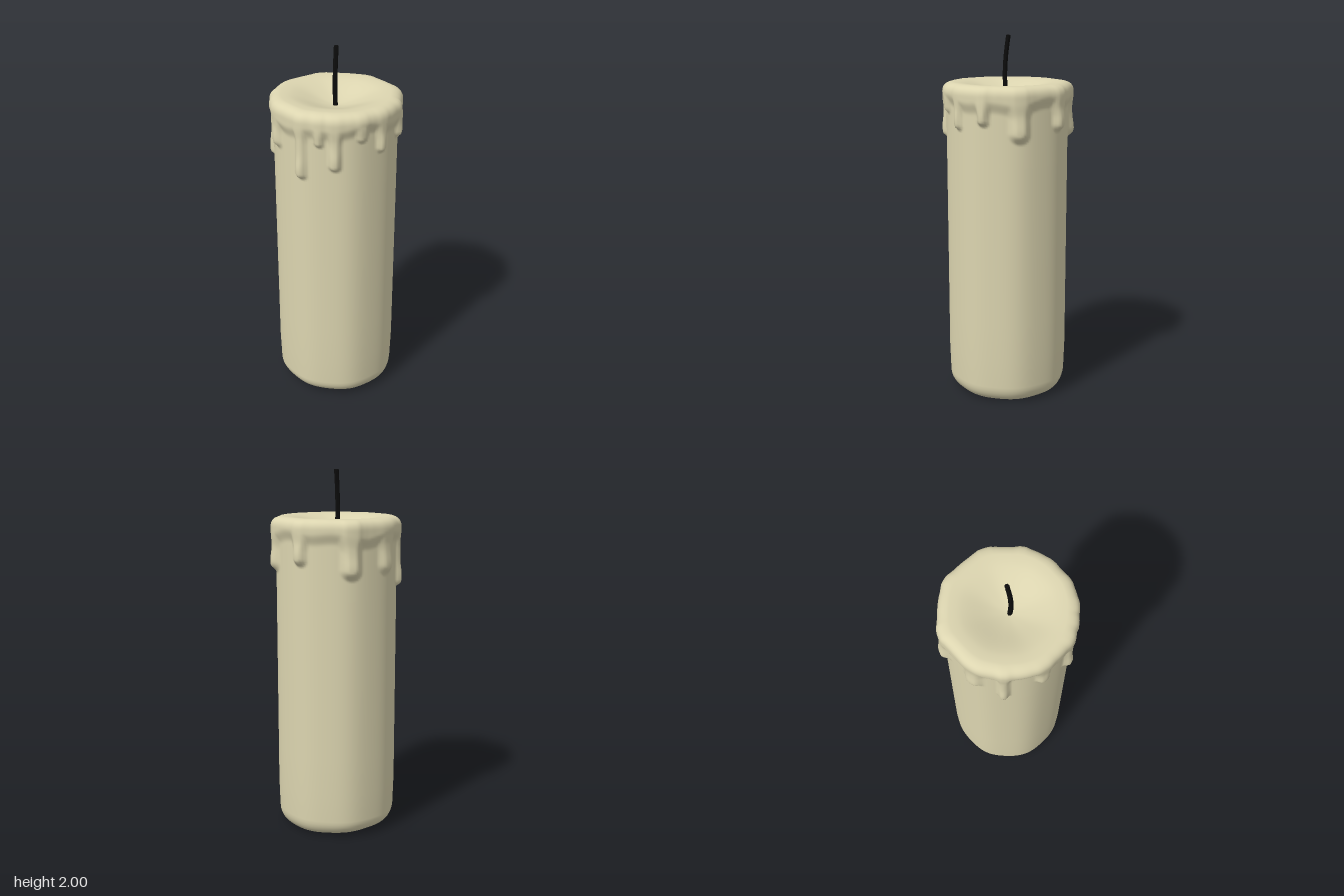
import * as THREE from 'three';
import { mergeVertices } from 'three/addons/utils/BufferGeometryUtils.js';

// Wax drips: [angle in degrees from the front towards +x, tip height, half width, thickness]
const DRIPS = [
  [-47, 1.38, 0.036, 0.028], [-30, 1.57, 0.026, 0.02], [-16, 1.44, 0.036, 0.026],
  [8, 1.59, 0.03, 0.018], [29, 1.51, 0.032, 0.024], [57, 1.54, 0.034, 0.028],
  [90, 1.45, 0.06, 0.03], [132, 1.5, 0.045, 0.03], [180, 1.43, 0.06, 0.034],
  [218, 1.45, 0.06, 0.022], [246, 1.37, 0.032, 0.028], [281, 1.5, 0.045, 0.024],
];
const RADIUS = 0.332;
const smooth = THREE.MathUtils.smoothstep;

// How far the molten wax stands out from the candle side
function waxOffset(angle, y) {
  // lip hanging from the rim, with a wavy lower edge
  const edge = 1.645 + 0.012 * Math.sin(3 * angle + 1) + 0.01 * Math.sin(7 * angle);
  const lip = 0.02 * smooth(y, edge - 0.035, edge + 0.035);
  let drip = 0;
  for (const [deg, tip, width, thick] of DRIPS) {
    const a = angle - THREE.MathUtils.degToRad(deg);
    const across = Math.atan2(Math.sin(a), Math.cos(a)) * RADIUS;
    // drips flare where they join the lip, and swell at the rounded tip
    const w = width * (1 + 0.5 * smooth(y, 1.58, 1.68));
    const along = Math.max(0, tip + width - y) / width;
    const d = Math.hypot(across / w, along);
    const swell = 0.8 + 0.35 * Math.exp(-(((y - tip - 0.06) / 0.06) ** 2));
    drip = Math.max(drip, thick * swell * (1 - smooth(d, 0.3, 1.05)));
  }
  return Math.max(lip, drip) + 0.25 * Math.min(lip, drip);
}

function createWax() {
  const profile = [];
  const add = (r, y) => profile.push(new THREE.Vector2(r, y));
  // underside and rounded foot
  add(0, 0.008);
  add(0.14, 0.008);
  for (let i = 0; i <= 8; i++) {
    const t = (i / 8) * Math.PI / 2;
    add(0.25 + 0.077 * Math.sin(t), 0.008 + 0.085 * (1 - Math.cos(t)));
  }
  // straight side, then dense rows where the drips are
  for (let y = 0.25; y < 1.3; y += 0.2) add(RADIUS, y);
  for (let i = 0; i <= 38; i++) add(RADIUS, 1.32 + i * 0.01);
  // rounded rim
  for (let i = 1; i <= 8; i++) {
    const t = (i / 8) * Math.PI / 2;
    add(0.282 + 0.05 * Math.cos(t), 1.7 + 0.053 * Math.sin(t));
  }
  // dished top
  for (let i = 1; i <= 10; i++) {
    const r = 0.282 * (1 - i / 10);
    add(r, 1.68 + 0.073 * smooth(r, -0.05, 0.29) ** 1.4);
  }

  let geometry = new THREE.LatheGeometry(profile, 192);
  const p = geometry.attributes.position;
  for (let i = 0; i < p.count; i++) {
    const x = p.getX(i), y = p.getY(i), z = p.getZ(i);
    const r = Math.hypot(x, z);
    if (r < 1e-5) {
      p.setXYZ(i, -0.008, y, 0.008);
      continue;
    }
    const angle = Math.atan2(x, z);
    // slightly uneven, hand-made outline
    let out = r * (1 + 0.008 * Math.cos(8 * angle));
    if (y > 1.3) {
      const outer = smooth(r, 0.25, 0.325);
      out += waxOffset(angle, Math.min(y, 1.7)) * outer;
    }
    const tilt = y < 0.1 ? 0.012 * (1 - y / 0.1) * (-x / 0.33) : 0;
    p.setXYZ(i, Math.sin(angle) * out - 0.008, Math.max(0, y + tilt), Math.cos(angle) * out + 0.008);
  }
  // weld the seam so the shading is continuous
  geometry.deleteAttribute('uv');
  geometry.deleteAttribute('normal');
  geometry = mergeVertices(geometry, 1e-5);
  geometry.computeVertexNormals();
  const mesh = new THREE.Mesh(geometry, new THREE.MeshStandardMaterial({ color: 0xdcd5b0 }));
  mesh.name = 'waxBody';
  return mesh;
}

function createWick() {
  const group = new THREE.Group();
  group.name = 'wick';
  const material = new THREE.MeshStandardMaterial({ color: 0x0c0c0c, flatShading: true });
  const path = new THREE.CatmullRomCurve3([
    new THREE.Vector3(-0.012, 1.66, 0.014),
    new THREE.Vector3(-0.016, 1.78, 0.02),
    new THREE.Vector3(-0.013, 1.89, 0.015),
    new THREE.Vector3(-0.005, 1.998, 0.003),
  ]);
  const stem = new THREE.Mesh(new THREE.TubeGeometry(path, 10, 0.013, 6), material);
  stem.name = 'wickStem';
  // flat end
  const tip = new THREE.Mesh(new THREE.CylinderGeometry(0.0125, 0.0125, 0.006, 6), material);
  tip.name = 'wickTip';
  tip.position.set(-0.005, 1.997, 0.003);
  group.add(stem, tip);
  return group;
}

export function createModel() {
  const model = new THREE.Group();
  model.name = 'candle';
  model.add(createWax(), createWick());
  return model;
}
